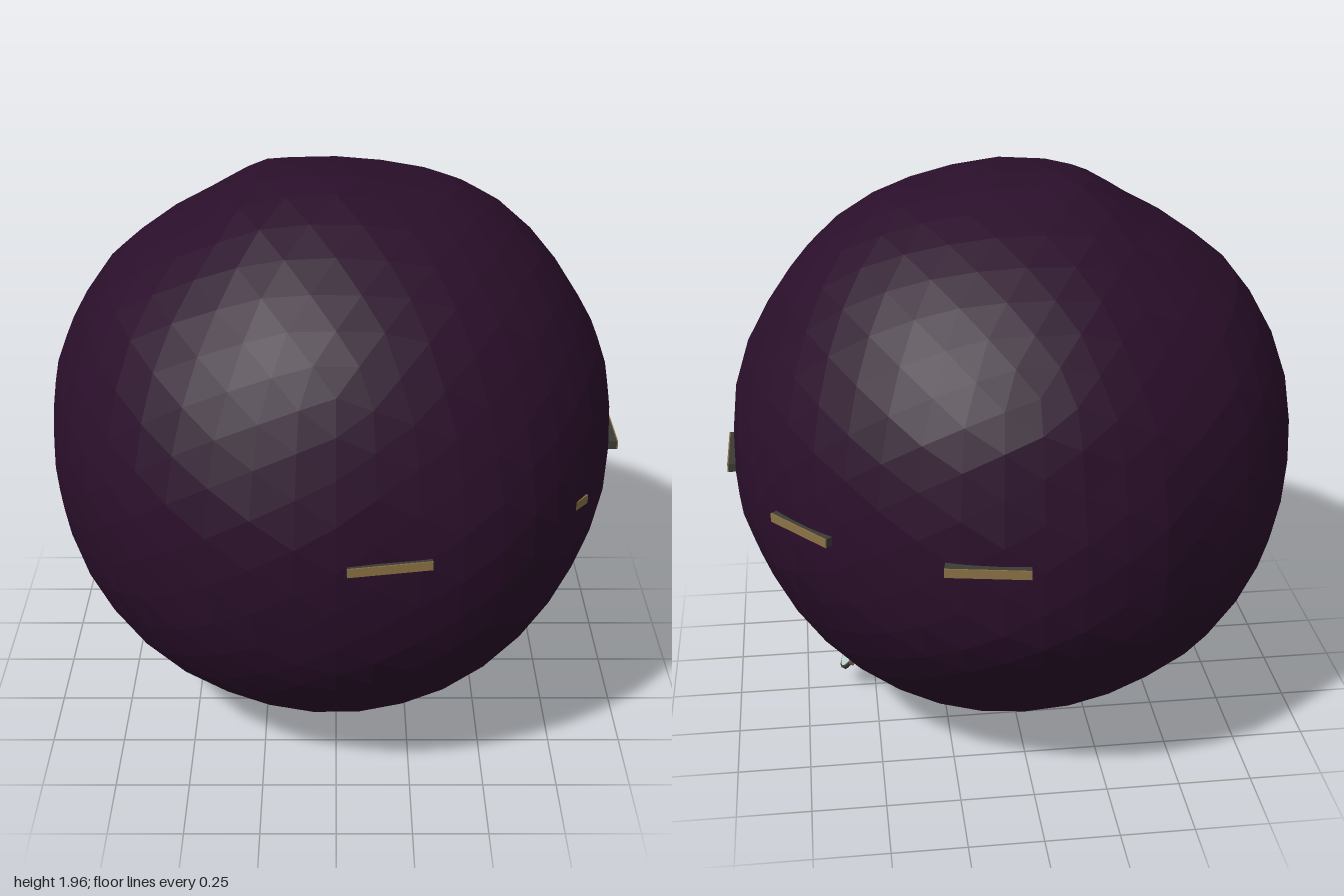
import * as THREE from 'three';

const CY = 0.99;

const mat = (name, color, extra = {}) => {
  const m = new THREE.MeshStandardMaterial({ color, ...extra });
  m.name = name;
  return m;
};

// Outline points -> radius as a function of angle
function outline(p, cv) {
  const pts = [];
  for (let i = 0; i < p.length; i += 2) {
    const u = p[i], v = p[i + 1] - cv;
    pts.push([Math.atan2(v, u), Math.hypot(u, v)]);
  }
  pts.sort((a, b) => a[0] - b[0]);
  const n = pts.length, T = Math.PI * 2;
  const ring = [[pts[n - 1][0] - T, pts[n - 1][1]], ...pts, [pts[0][0] + T, pts[0][1]]];
  return (a) => {
    let i = 1;
    while (i < ring.length - 1 && ring[i][0] < a) i++;
    const [a0, r0] = ring[i - 1], [a1, r1] = ring[i];
    return r0 + (r1 - r0) * (a - a0) / (a1 - a0);
  };
}

// Three cross-sections of the rock: x/y, z/y and x/z
const sectionXY = outline([
  -0.22, 1.965, -0.1, 1.965, 0.17, 1.935, 0.39, 1.895, 0.58, 1.79, 0.69, 1.685, 0.8, 1.535,
  0.875, 1.42, 0.94, 1.24, 0.955, 1.0, 0.95, 0.865, 0.875, 0.655, 0.8, 0.49, 0.63, 0.275,
  0.43, 0.135, 0.16, 0.04, -0.045, 0.005, -0.175, 0.025, -0.52, 0.155, -0.665, 0.24,
  -0.765, 0.345, -0.93, 0.63, -0.97, 0.85, -0.985, 1.0, -0.985, 1.14, -0.965, 1.27,
  -0.77, 1.62, -0.67, 1.7, -0.44, 1.835], CY);
const sectionZY = outline([
  0.2, 1.965, -0.03, 1.96, -0.245, 1.91, -0.525, 1.78, -0.675, 1.66, -0.81, 1.5, -0.89, 1.38,
  -0.93, 1.205, -0.97, 1.0, -0.96, 0.73, -0.765, 0.445, -0.62, 0.28, -0.405, 0.115,
  -0.13, 0.035, -0.02, 0.005, 0.13, 0.005, 0.44, 0.12, 0.7, 0.27, 0.805, 0.405, 0.925, 0.6,
  0.97, 0.795, 0.99, 1.0, 0.93, 1.255, 0.835, 1.505, 0.69, 1.7, 0.6, 1.77, 0.34, 1.92], CY);
const sectionXZ = outline([
  -0.09, -0.98, 0, -0.98, 0.23, -0.935, 0.425, -0.855, 0.64, -0.7, 0.81, -0.5, 0.94, -0.23,
  0.955, 0, 0.925, 0.24, 0.805, 0.535, 0.655, 0.735, 0.56, 0.82, 0.435, 0.89, 0.135, 0.945,
  0.02, 0.975, -0.16, 0.99, -0.54, 0.85, -0.71, 0.715, -0.855, 0.52, -0.93, 0.365, -0.98, 0,
  -0.965, -0.21, -0.94, -0.29, -0.755, -0.62, -0.53, -0.79, -0.465, -0.86, -0.235, -0.95], 0);

function rockGeometry() {
  const g = new THREE.IcosahedronGeometry(1, 7);
  const pos = g.attributes.position, d = new THREE.Vector3();
  for (let i = 0; i < pos.count; i++) {
    d.fromBufferAttribute(pos, i).normalize();
    // Blend the sections, favouring the one whose plane is nearest
    const wz = 1 / (d.z * d.z + 0.01), wx = 1 / (d.x * d.x + 0.01), wy = 1 / (d.y * d.y + 0.01);
    const r = (wz * sectionXY(Math.atan2(d.y, d.x)) + wx * sectionZY(Math.atan2(d.y, d.z))
      + wy * sectionXZ(Math.atan2(d.z, d.x))) / (wx + wy + wz);
    pos.setXYZ(i, d.x * r, d.y * r, d.z * r);
  }
  g.computeVertexNormals();
  return g;
}

export function createModel() {
  const root = new THREE.Group();
  const rockMat = mat('dark plum rock', 0x2a0f2a, { flatShading: true });
  const glow = mat('amber window', 0x8c7245);
  const casing = mat('dark casing', 0x3a3c34);
  const taupe = mat('taupe metal', 0x62574a);
  const deck = mat('dark green deck', 0x1c241f);
  const glass = mat('pale glass', 0xc4d6cf);

  const add = (parent, name, geo, material, x = 0, y = 0, z = 0) => {
    const m = new THREE.Mesh(geo, material);
    m.name = name;
    m.position.set(x, y, z);
    parent.add(m);
    return m;
  };

  add(root, 'rock', rockGeometry(), rockMat, 0, CY, 0);

  // Window strips around one half of the equator
  [[-80, 0.98], [-40, 0.965], [0, 0.978], [40, 0.965], [80, 0.988]].forEach(([deg, r]) => {
    const strip = new THREE.Group();
    strip.name = 'windowStrip';
    strip.rotation.y = THREE.MathUtils.degToRad(deg);
    strip.position.y = 0.995;
    add(strip, 'stripCasing', new THREE.BoxGeometry(0.06, 0.03, 0.266), casing, r - 0.033, 0, 0.006);
    add(strip, 'stripWindow', new THREE.BoxGeometry(0.004, 0.03, 0.266), glow, r - 0.001, 0, 0.006);
    root.add(strip);
  });

  // Round platforms: local +y points away from the rock
  const platform = (name, x, y, nx, ny) => {
    const g = new THREE.Group();
    g.name = name;
    g.position.set(x, y, 0.012);
    g.quaternion.setFromUnitVectors(new THREE.Vector3(0, 1, 0), new THREE.Vector3(nx, ny, 0).normalize());
    root.add(g);
    return g;
  };

  const dock = platform('dockPlatform', 0.29, 0.065, 0.34, -0.94);
  add(dock, 'dockBase', new THREE.CylinderGeometry(0.152, 0.152, 0.03, 32), taupe, 0, -0.008, 0);
  add(dock, 'dockDeck', new THREE.CylinderGeometry(0.134, 0.134, 0.006, 32), deck, 0, 0.008, 0);
  for (let i = 0; i < 24; i++) {
    const a = i / 24 * Math.PI * 2;
    const tick = add(dock, 'dockTick', new THREE.BoxGeometry(0.016, 0.004, 0.006), deck,
      Math.cos(a) * 0.137, 0.007, Math.sin(a) * 0.137);
    tick.rotation.y = -a;
  }

  const turret = platform('turretPlatform', 0.538, 0.192, 0.62, -0.79);
  add(turret, 'turretBase', new THREE.CylinderGeometry(0.113, 0.113, 0.026, 32), taupe, 0, -0.01, 0);

  // Tilted lens held in a two-armed fork
  const lens = new THREE.Group();
  lens.name = 'lens';
  lens.position.set(0.588, 0.14, 0.012);
  lens.rotation.z = Math.atan2(0.56, 0.83);
  root.add(lens);
  const rim = add(lens, 'lensRim', new THREE.CylinderGeometry(0.062, 0.062, 0.012, 28), casing);
  const pane = add(lens, 'lensPane', new THREE.CylinderGeometry(0.053, 0.053, 0.017, 28), glass);
  rim.rotation.z = pane.rotation.z = Math.PI / 2;
  for (const s of [-1, 1]) {
    add(lens, 'forkArm', new THREE.BoxGeometry(0.018, 0.075, 0.014), taupe, 0, 0.034, s * 0.07);
  }

  // Thin antenna beside the dock
  const mast = add(root, 'antenna', new THREE.CylinderGeometry(0.004, 0.004, 0.11, 8), casing, 0.428, 0.072, 0.155);
  mast.rotation.z = 0.3;

  return root;
}
